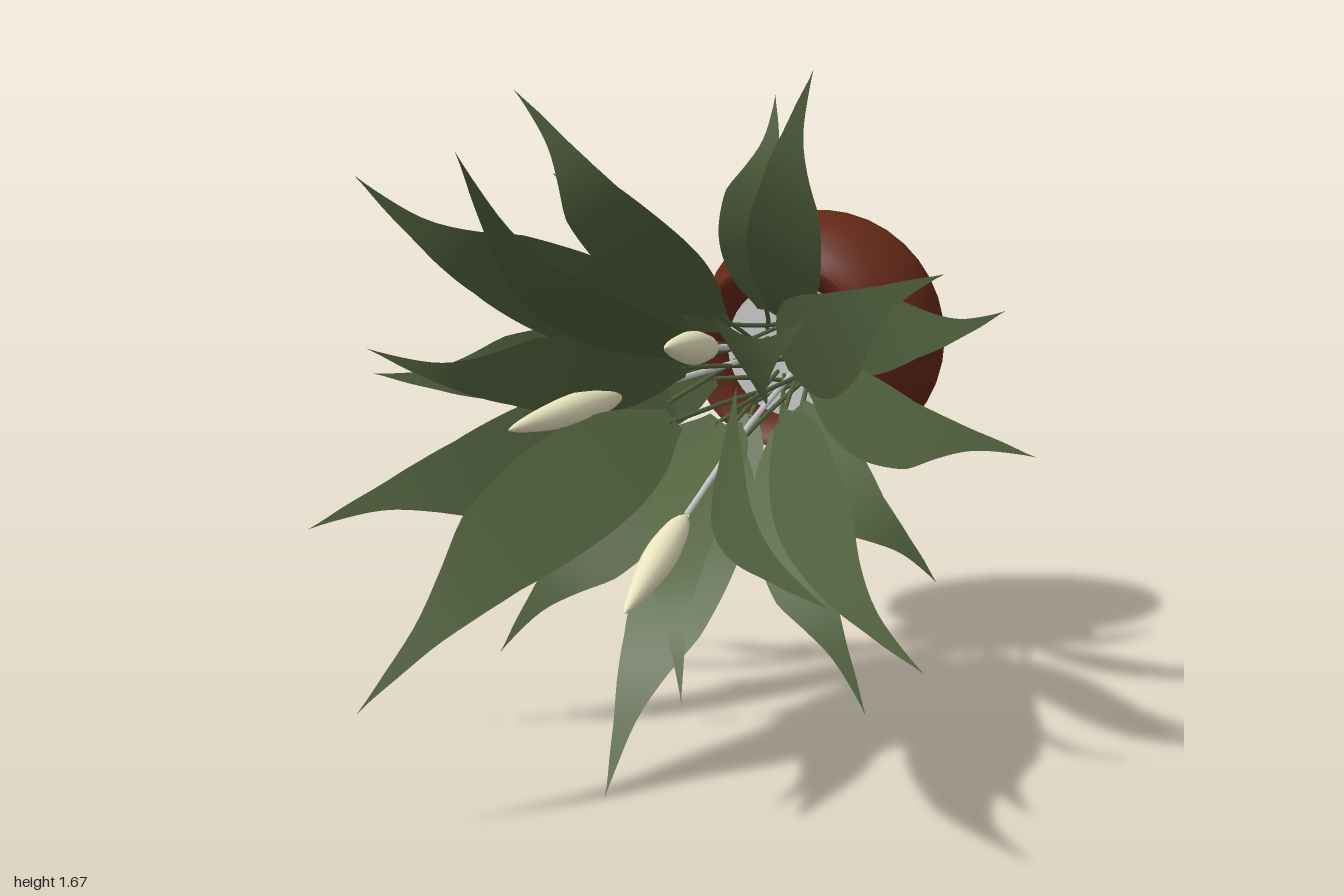
import * as THREE from 'three';

const mat = (color) => new THREE.MeshStandardMaterial({ color, side: THREE.DoubleSide });
const potMat = mat(0x642818), baseMat = mat(0xc8a47a), soilMat = mat(0xcccccc);
const leafMat = mat(0x53633f), budMat = mat(0xeae6c0);
const v2 = (pts) => pts.map(([x, y]) => new THREE.Vector2(x, y));
const SOIL = -0.57;

// half-width of a blade along its length: blunt foot, full middle, short drawn-out tip
const outline = new THREE.SplineCurve(v2([
  [0, 0.25], [0.035, 0.65], [0.12, 0.9], [0.28, 1], [0.48, 1], [0.65, 0.92],
  [0.77, 0.77], [0.86, 0.5], [0.92, 0.25], [0.96, 0.11], [1, 0],
]));

// tiers: spine as [radius, z], blade width, leaves as [body angle, tip angle]
const tiers = [
  { name: 'innerLeaf', width: 0.27, spine: [[0.09, 0.06], [0.18, 0.33], [0.3, 0.6], [0.45, 0.82], [0.71, 1]],
    leaves: [[98, 103], [223, 233], [347, 343]] },
  { name: 'innerShortLeaf', width: 0.22, spine: [[0.1, -0.1], [0.2, 0.2], [0.33, 0.43], [0.45, 0.56], [0.61, 0.64]],
    leaves: [[36, 34], [160, 163], [283, 289]] },
  { name: 'middleLeaf', width: 0.25, spine: [[0.16, -0.13], [0.26, 0.02], [0.41, 0.22], [0.6, 0.4], [0.87, 0.53]],
    leaves: [[26, 29], [139, 140], [202, 200], [275, 267], [329, 327]] },
  { name: 'outerLeaf', width: 0.21, spine: [[0.16, -0.28], [0.28, -0.16], [0.44, -0.02], [0.62, 0.08], [0.86, 0.12]],
    leaves: [[63, 69], [123, 122], [176, 180], [237, 233], [299, 302], [353, 356]] },
  { name: 'lowestLeaf', width: 0.19, spine: [[0.14, -0.37], [0.25, -0.3], [0.37, -0.235], [0.52, -0.202], [0.71, -0.222]],
    leaves: [[20, 17], [87, 83], [140, 137], [199, 197], [256, 250], [314, 317]] },
];

// curved blade growing along +x, with a wavy tip swept sideways
function bladeGeometry({ spine, width }, sweep) {
  const curve = new THREE.SplineCurve(v2(spine));
  const geo = new THREE.PlaneGeometry(2, 1, 4, 32);
  const pos = geo.attributes.position;
  for (let i = 0; i < pos.count; i++) {
    const t = THREE.MathUtils.clamp(pos.getY(i) + 0.5, 0, 1);
    const p = curve.getPointAt(t), a = sweep * t * t;
    const wave = Math.sign(sweep) * 0.022 * Math.sin(Math.max(0, t - 0.6) * 8);
    const side = pos.getX(i) * outline.getPoint(t).y * width / 2 + wave;
    pos.setXYZ(i, p.x * Math.cos(a), p.x * Math.sin(a) + side, p.y);
  }
  geo.computeVertexNormals();
  return geo;
}

function add(parent, name, geometry, material) {
  const mesh = new THREE.Mesh(geometry, material);
  mesh.name = name;
  parent.add(mesh);
  return mesh;
}

function stemGeometry(points, radius) {
  const curve = new THREE.CatmullRomCurve3(points.map((p) => new THREE.Vector3(...p)));
  return new THREE.TubeGeometry(curve, 10, radius, 6);
}

function makePot() {
  const pot = new THREE.Group();
  pot.name = 'pot';
  // round belly, narrow neck and flared rim
  const outer = new THREE.SplineCurve(v2([
    [0.18, -1], [0.235, -0.977], [0.295, -0.923], [0.33, -0.85], [0.334, -0.79], [0.315, -0.715],
    [0.268, -0.65], [0.215, -0.605], [0.194, -0.565], [0.205, -0.53], [0.238, -0.505], [0.245, -0.49],
  ])).getPoints(44);
  const inner = v2([
    [0.245, -0.49], [0.225, -0.492], [0.19, -0.53], [0.178, -0.565], [0.18, -0.6],
  ]);
  [['potBody', outer], ['potInside', inner]].forEach(([name, profile]) => {
    add(pot, name, new THREE.LatheGeometry(profile, 36).rotateX(Math.PI / 2), potMat);
  });
  const base = add(pot, 'potBase', new THREE.CircleGeometry(0.181, 36), baseMat);
  base.rotation.y = Math.PI;
  base.position.z = -1;
  add(pot, 'soil', new THREE.CircleGeometry(0.18, 36), soilMat).position.z = SOIL;
  return pot;
}

// spindle-shaped bud on a thin stalk, between two points
function makeBud(foot, tip) {
  const flower = new THREE.Group();
  flower.name = 'flower';
  const a = new THREE.Vector3(...foot), b = new THREE.Vector3(...tip);
  const length = a.distanceTo(b);
  const profile = new THREE.SplineCurve(v2([
    [0.004, 0], [0.025, 0.12], [0.036, 0.32], [0.038, 0.48], [0.027, 0.72], [0.012, 0.92], [0.0005, 1],
  ].map(([r, y]) => [r, y * length]))).getPoints(18);
  const bud = add(flower, 'bud', new THREE.LatheGeometry(profile, 14), budMat);
  bud.position.copy(a);
  bud.quaternion.setFromUnitVectors(new THREE.Vector3(0, 1, 0), b.sub(a).normalize());
  const mid = [foot[0] * 0.55, foot[1] * 0.55, (foot[2] + SOIL) / 2];
  add(flower, 'flowerStalk', stemGeometry([[foot[0] * 0.2, foot[1] * 0.2, SOIL], mid, foot], 0.008), soilMat);
  return flower;
}

export function createModel() {
  const model = new THREE.Group();
  model.name = 'pottedPlant';
  const plant = new THREE.Group();
  plant.name = 'plant';
  plant.position.y = 0.875;
  model.add(plant);
  plant.add(makePot());

  // leaves, each with its own thin stem rising slantwise from the soil
  for (const tier of tiers) {
    const [r, z] = tier.spine[0], [r2, z2] = tier.spine[1];
    tier.leaves.forEach(([body, tip], i) => {
      const leaf = new THREE.Group();
      leaf.name = tier.name;
      leaf.rotation.z = THREE.MathUtils.degToRad(body);
      add(leaf, 'blade', bladeGeometry(tier, THREE.MathUtils.degToRad(tip - body)), leafMat);
      const startSide = i % 2 ? 0.07 : -0.05;
      const start = [0.05, startSide, SOIL];
      const mid = [(r + 0.05) * 0.5, startSide * 0.45, (z + SOIL) / 2];
      const end = [r + (r2 - r) * 0.1, 0, z + (z2 - z) * 0.1];
      add(leaf, 'leafStem', stemGeometry([start, mid, end], 0.006), leafMat);
      plant.add(leaf);
    });
  }

  // flower buds, relative to the pot axis
  plant.add(makeBud([0.12, 0.165, 0.26], [0.19, 0.25, 0.71]));
  plant.add(makeBud([-0.19, -0.005, 0.08], [-0.28, -0.01, 0.53]));
  plant.add(makeBud([0.1, -0.21, 0.38], [0.148, -0.315, 0.84]));
  return model;
}
